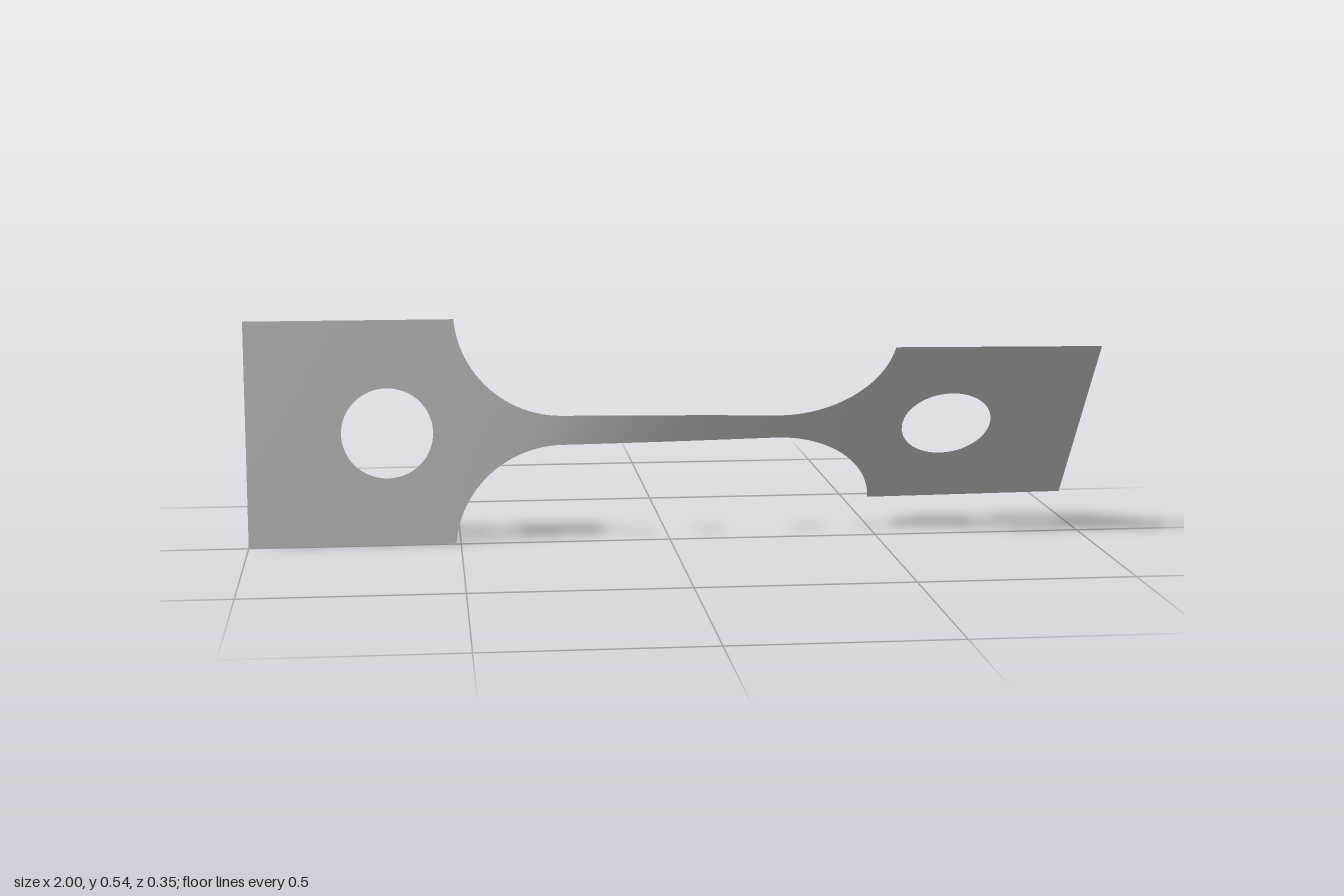
import * as THREE from 'three';

const HALF = 0.27;          // half width of the grips, and height of the axis
const WAIST = 0.036;        // half width of the narrow gauge
const R = 0.255;            // fillet radius
const CX = 0.257, CY = WAIST + R;
const A0 = Math.asin((CY - HALF) / R);
const SHOULDER = CX + R * Math.cos(A0);
const HOLE_X = 0.67, HOLE_R = 0.108;
const TOTAL_TWIST = 39.8 * Math.PI / 180;

// Half width of the strip at x
function halfWidth(x) {
  const a = Math.abs(x);
  if (a >= SHOULDER) return HALF;
  if (a <= CX) return WAIST;
  return CY - Math.sqrt(R * R - (a - CX) ** 2);
}

// Accumulated twist: narrow stretches twist far more than wide ones
const STEPS = 800;
const sums = [0];
for (let i = 0; i < STEPS; i++) {
  const x = -1 + 2 * (i + 0.5) / STEPS;
  sums.push(sums[i] + halfWidth(x) ** -1.5);
}
function twist(x) {
  const t = THREE.MathUtils.clamp((x + 1) / 2, 0, 1) * STEPS;
  const i = Math.min(Math.floor(t), STEPS - 1);
  return TOTAL_TWIST * THREE.MathUtils.lerp(sums[i], sums[i + 1], t - i) / sums[STEPS];
}

// Sheet from rows of flat [x, v] points, each point turned about the long axis
function twistedSheet(rows) {
  const positions = [], index = [], n = rows[0].length;
  for (const row of rows) {
    for (const [x, v] of row) {
      const a = twist(x);
      positions.push(x, HALF + v * Math.cos(a), v * Math.sin(a));
    }
  }
  for (let i = 0; i < rows.length - 1; i++) {
    for (let j = 0; j < n - 1; j++) {
      const a = i * n + j, b = a + n;
      index.push(a, b, a + 1, b, b + 1, a + 1);
    }
  }
  const g = new THREE.BufferGeometry();
  g.setAttribute('position', new THREE.Float32BufferAttribute(positions, 3));
  g.setIndex(index);
  g.computeVertexNormals();
  return g;
}

// Square grip plate: rings running from the round hole out to the outline
function gripGeometry(side) {
  const cx = side * HOLE_X;
  const x0 = side < 0 ? -1 : SHOULDER, x1 = side < 0 ? -SHOULDER : 1;
  const corners = [[x1, -HALF], [x1, HALF], [x0, HALF], [x0, -HALF]];
  const outline = [];
  corners.forEach(([ax, ay], k) => {
    const [bx, by] = corners[(k + 1) % 4];
    for (let i = 0; i < 16; i++) {
      outline.push([ax + (bx - ax) * i / 16, ay + (by - ay) * i / 16]);
    }
  });
  outline.push(outline[0]);
  const rows = [];
  for (let k = 0; k <= 6; k++) {
    rows.push(outline.map(([x, v]) => {
      const d = Math.hypot(x - cx, v);
      const s = THREE.MathUtils.lerp(HOLE_R / d, 1, k / 6);
      return [cx + (x - cx) * s, v * s];
    }));
  }
  return twistedSheet(rows);
}

// Gauge and its four fillets: columns sampled along the arcs
function gaugeGeometry() {
  const fillet = [];
  for (let i = 0; i <= 24; i++) {
    const a = THREE.MathUtils.lerp(A0, Math.PI / 2, i / 24);
    fillet.push([CX + R * Math.cos(a), CY - R * Math.sin(a)]);
  }
  const columns = fillet.map(([x, w]) => [-x, w]);
  for (let i = 1; i < 40; i++) columns.push([-CX + 2 * CX * i / 40, WAIST]);
  columns.push(...fillet.reverse());
  return twistedSheet(columns.map(([x, w]) => {
    const row = [];
    for (let j = 0; j <= 12; j++) row.push([x, w * (j / 6 - 1)]);
    return row;
  }));
}

export function createModel() {
  const metal = new THREE.MeshStandardMaterial({ color: 0xc0c0c0, side: THREE.DoubleSide });
  metal.name = 'grey metal';
  const model = new THREE.Group();
  model.name = 'twistedTestStrip';
  const add = (name, geometry) => {
    const mesh = new THREE.Mesh(geometry, metal);
    mesh.name = name;
    model.add(mesh);
  };
  add('rightGrip', gripGeometry(-1));
  add('gauge', gaugeGeometry());
  add('leftGrip', gripGeometry(1));
  return model;
}
